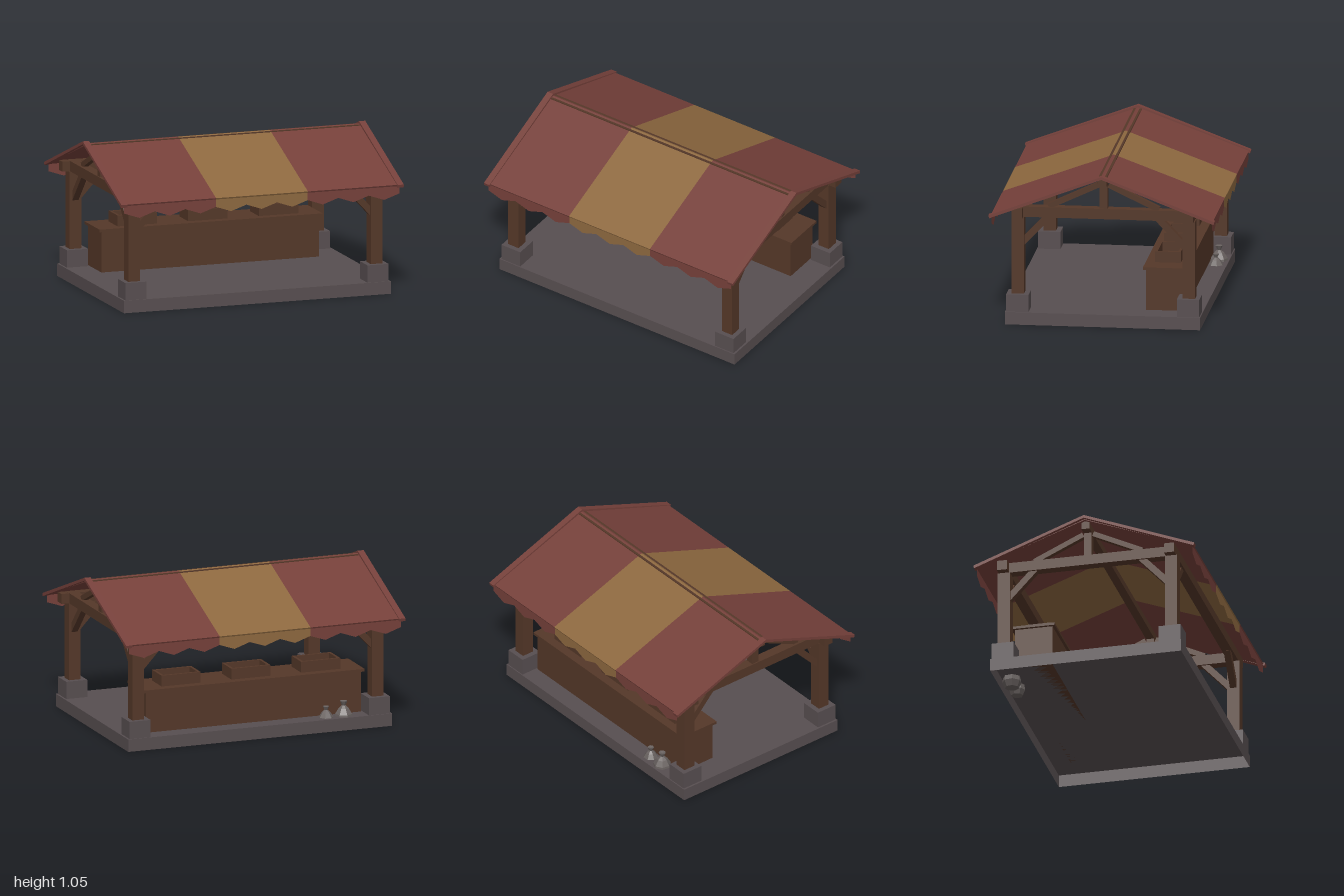
import * as THREE from 'three';

const mat = (name, color, extra = {}) => {
  const m = new THREE.MeshStandardMaterial({ color, ...extra });
  m.name = name;
  return m;
};

export function createModel() {
  const model = new THREE.Group();
  model.name = 'marketStall';
  const wood = mat('brown wood', 0x543728);
  const stone = mat('grey stone', 0x574e50, { side: THREE.DoubleSide });
  const red = mat('red cloth', 0x75403a, { side: THREE.DoubleSide });
  const ochre = mat('ochre cloth', 0x8d683f, { side: THREE.DoubleSide });
  const sack = mat('grey sackcloth', 0x68615f, { flatShading: true });

  const add = (name, geometry, material, parent = model) => {
    const mesh = new THREE.Mesh(geometry, material);
    mesh.name = name;
    parent.add(mesh);
    return mesh;
  };
  // Box given by its min and max on each axis
  const box = (name, [x0, x1], [y0, y1], [z0, z1], material, parent) => {
    const g = new THREE.BoxGeometry(x1 - x0, y1 - y0, z1 - z0);
    g.translate((x0 + x1) / 2, (y0 + y1) / 2, (z0 + z1) / 2);
    return add(name, g, material, parent);
  };
  // Square timber running between two points
  const timber = (name, a, b, size) => {
    const from = new THREE.Vector3(...a), to = new THREE.Vector3(...b);
    const mesh = add(name, new THREE.BoxGeometry(size, size, from.distanceTo(to)), wood);
    mesh.position.copy(from).add(to).multiplyScalar(0.5);
    mesh.lookAt(to);
  };
  // Gable-shaped sheet extruded along x
  const gable = (name, x0, x1, halfZ, ridge, eave, thick, material) => {
    const s = new THREE.Shape();
    s.moveTo(-halfZ, eave);
    s.lineTo(-halfZ + 0.005, eave - thick);
    s.lineTo(0, ridge - thick);
    s.lineTo(halfZ - 0.005, eave - thick);
    s.lineTo(halfZ, eave);
    s.lineTo(0, ridge);
    const g = new THREE.ExtrudeGeometry(s, { depth: x1 - x0, bevelEnabled: false });
    g.rotateY(Math.PI / 2).translate(x0, 0, 0);
    add(name, g, material);
  };

  // Floor slab, hollow underneath: the bottom face of the box is left out
  const slab = box('floorSlab', [-0.945, 0.945], [0, 0.085], [-0.655, 0.655], stone).geometry;
  slab.setIndex(Array.from(slab.index.array).filter((_, i) => i < 18 || i >= 24));
  slab.clearGroups();

  // Corner posts, footings and braces
  for (const sx of [-1, 1]) {
    for (const sz of [-1, 1]) {
      const span = (s, a, b) => (s > 0 ? [a, b] : [-b, -a]);
      box('footing', span(sx, 0.782, 0.932), [0.085, 0.203], span(sz, 0.498, 0.648), stone);
      box('post', span(sx, 0.817, 0.9), [0.2, 0.73], span(sz, 0.532, 0.616), wood);
      timber('sideBrace', [sx * 0.86, 0.54, sz * 0.555], [sx * 0.86, 0.742, sz * 0.365], 0.044);
      timber('lengthBrace', [sx * 0.845, 0.535, sz * 0.573], [sx * 0.655, 0.742, sz * 0.573], 0.044);
      timber('rafterStrut', [sx * 0.86, 0.802, sz * 0.37], [sx * 0.86, 0.96, sz * 0.034], 0.036);
    }
    // End truss
    box('tieBeam', [sx * 0.86 - 0.035, sx * 0.86 + 0.035], [0.73, 0.8], [-0.605, 0.605], wood);
    box('kingPost', [sx * 0.86 - 0.027, sx * 0.86 + 0.027], [0.8, 0.97], [-0.027, 0.027], wood);
  }
  for (const z of [-0.573, 0.573])
    box('wallPlate', [-0.95, 0.95], [0.731, 0.799], [z - 0.035, z + 0.035], wood);
  // The ridge beam's upper edges just break through the cloth
  box('ridgeBeam', [-0.953, 0.953], [0.965, 1.0265], [-0.028, 0.028], wood);

  // Striped canopy with edge trims
  const stripes = [[-0.975, -0.325, red], [-0.325, 0.325, ochre], [0.325, 0.975, red]];
  for (const [x0, x1, cloth] of stripes) {
    gable('canopyStripe', x0, x1, 0.745, 1.031, 0.757, 0.01, cloth);
    // Pointed valance, three teeth per stripe
    const s = new THREE.Shape();
    s.moveTo(x0, 0.754);
    const step = (x1 - x0) / 6;
    for (let i = 0; i <= 6; i++) s.lineTo(x0 + i * step, i % 2 ? 0.66 : 0.697);
    s.lineTo(x1, 0.754);
    for (const z of [-0.74, 0.74])
      add('valance', new THREE.ShapeGeometry(s).translate(0, 0, z), cloth);
  }
  gable('leftTrim', 0.956, 1, 0.758, 1.046, 0.759, 0.02, red);
  gable('rightTrim', -1, -0.956, 0.758, 1.046, 0.759, 0.02, red);

  // Counter
  box('counterBody', [-0.77, 0.77], [0.085, 0.363], [-0.53, -0.272], wood);
  box('counterTop', [-0.79, 0.79], [0.363, 0.381], [-0.55, -0.253], wood);

  // Open crates on the counter
  for (const x of [-0.5, 0, 0.5]) {
    const crate = new THREE.Group();
    crate.name = 'crate';
    model.add(crate);
    const y = [0.381, 0.455], t = 0.018;
    box('crateBottom', [x - 0.14, x + 0.14], [0.381, 0.395], [-0.488, -0.314], wood, crate);
    box('crateFront', [x - 0.14, x + 0.14], y, [-0.314 - t, -0.314], wood, crate);
    box('crateBack', [x - 0.14, x + 0.14], y, [-0.488, -0.488 + t], wood, crate);
    box('crateSide', [x - 0.14, x - 0.14 + t], y, [-0.488 + t, -0.314 - t], wood, crate);
    box('crateSide', [x + 0.14 - t, x + 0.14], y, [-0.488 + t, -0.314 - t], wood, crate);
  }

  // Tied sacks behind the counter, sunk into the floor
  const profile = [[0, 0], [0.045, 0.005], [0.062, 0.045], [0.056, 0.09], [0.034, 0.125], [0.012, 0.145], [0.024, 0.172], [0, 0.165]]
    .map(([r, y]) => new THREE.Vector2(r, y));
  for (const [x, z, size, turn] of [[-0.5, -0.582, 0.9, 0], [-0.625, -0.586, 1.05, 0.5]]) {
    const m = add('sack', new THREE.LatheGeometry(profile, 7), sack);
    m.position.set(x, 0.005, z);
    m.scale.setScalar(size);
    m.rotation.y = turn;
  }
  return model;
}
